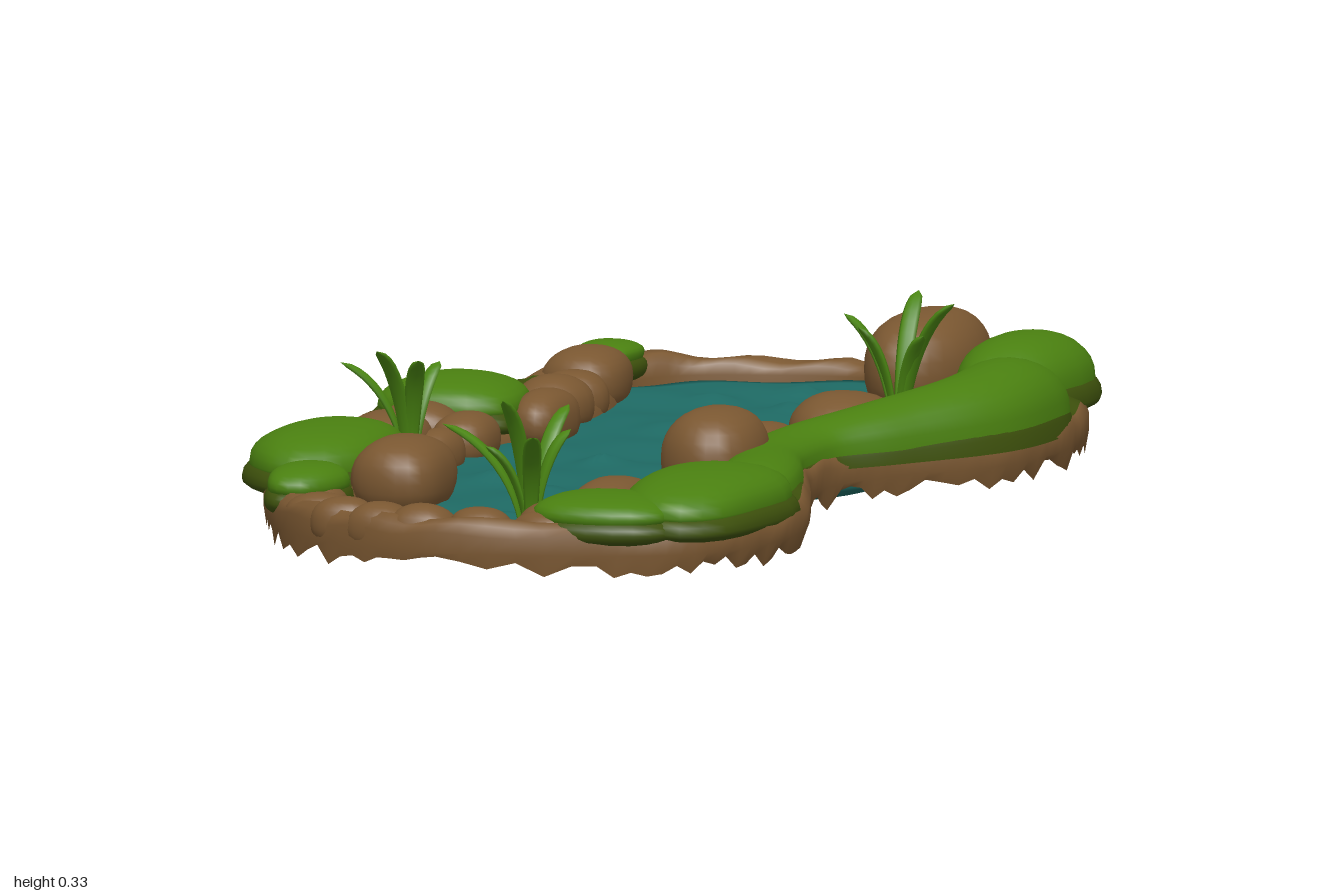
import * as THREE from 'three';
import { mergeVertices } from 'three/addons/utils/BufferGeometryUtils.js';

const mat = (name, color) => new THREE.MeshStandardMaterial({ name, color, side: THREE.DoubleSide });

// Paired points round the pond: outer bank x, z and waterline x, z
const SHORE = [
  [0, -1, 0, -0.96], [0.2, -0.95, 0.13, -0.9], [0.36, -0.87, 0.22, -0.8], [0.49, -0.72, 0.27, -0.66],
  [0.55, -0.55, 0.32, -0.5], [0.565, -0.4, 0.32, -0.36], [0.53, -0.23, 0.25, -0.2], [0.42, -0.08, 0.19, -0.05],
  [0.355, 0.06, 0.17, 0.07], [0.36, 0.2, 0.17, 0.2], [0.42, 0.36, 0.19, 0.36], [0.485, 0.57, 0.18, 0.55],
  [0.475, 0.73, 0.15, 0.72], [0.41, 0.86, 0.12, 0.83], [0.27, 0.94, 0.07, 0.88], [0, 1, -0.03, 0.9],
  [-0.16, 0.97, -0.14, 0.89], [-0.31, 0.87, -0.23, 0.8], [-0.42, 0.68, -0.28, 0.64], [-0.5, 0.47, -0.29, 0.45],
  [-0.545, 0.24, -0.33, 0.22], [-0.565, -0.04, -0.31, -0.04], [-0.535, -0.22, -0.29, -0.22], [-0.465, -0.42, -0.27, -0.42],
  [-0.46, -0.62, -0.3, -0.62], [-0.43, -0.79, -0.34, -0.79], [-0.33, -0.89, -0.29, -0.87], [-0.18, -0.97, -0.16, -0.93],
];
const loop = (k) => new THREE.CatmullRomCurve3(SHORE.map((p) => new THREE.Vector3(p[k], 0, p[k + 1])), true);
const outer = loop(0), inner = loop(2);
const shore = (u, s) => outer.getPoint(u % 1).lerp(inner.getPoint(u % 1), s);
const hash = (n) => { const v = Math.sin(n * 127.1 + 3.7) * 43758.5; return v - Math.floor(v); };
const bump = (x, z, a, b, r) => Math.exp(-((x - a) ** 2 + (z - b) ** 2) / (r * r));

// Smooth surface from rows of points; pick chooses a material slot per cell
function grid(rows, cols, closed, point, pick = () => 0) {
  const pos = [], idx = [[], []], w = closed ? cols : cols + 1;
  for (let i = 0; i <= rows; i++) for (let j = 0; j < w; j++) pos.push(...point(i, j));
  for (let i = 0; i < rows; i++) for (let j = 0; j < cols; j++) {
    const k = (j + 1) % w, a = i * w + j, b = i * w + k, c = a + w, d = b + w;
    idx[pick(i, j)].push(a, c, b, b, c, d);
  }
  const g = new THREE.BufferGeometry();
  g.setAttribute('position', new THREE.Float32BufferAttribute(pos, 3));
  g.setIndex([...idx[0], ...idx[1]]);
  g.addGroup(0, idx[0].length, 0);
  g.addGroup(idx[0].length, idx[1].length, 1);
  g.computeVertexNormals();
  return g;
}

// Lumpy boulder or cushion, widest at the waist height
function lump(rx, rz, bottom, waist, top, seed) {
  let g = new THREE.SphereGeometry(1, 24, 16);
  g.deleteAttribute('uv');
  g.deleteAttribute('normal');
  g = mergeVertices(g, 1e-4);
  const p = g.attributes.position, q = (v) => Math.sign(v) * Math.abs(v) ** 0.88;
  for (let i = 0; i < p.count; i++) {
    const x = p.getX(i), y = p.getY(i), z = p.getZ(i);
    const n = 1 + 0.05 * Math.sin(x * 3 + seed * 2.1) + 0.05 * Math.sin(z * 4 + seed * 1.3);
    p.setXYZ(i, q(x) * rx * n, waist + q(y) * (y > 0 ? top - waist : waist - bottom), q(z) * rz * n);
  }
  g.computeVertexNormals();
  return g;
}

export function createModel() {
  const model = new THREE.Group();
  model.name = 'gardenPond';
  const stone = mat('brownStone', 0x7a5731), moss = mat('mossGreen', 0x4a8010);
  const darkMoss = mat('darkMoss', 0x3d500c), teal = mat('waterTeal', 0x1e6a64), leaf = mat('reedGreen', 0x4a8512);
  const add = (name, geo, material, x = 0, z = 0) => {
    const m = new THREE.Mesh(geo, material);
    m.name = name;
    m.position.set(x, 0, z);
    model.add(m);
  };

  // Hollow bank with a ragged lower edge, low at the back; mossy on top in places
  const N = 170;
  const profile = [[0.03, 0.06], [0, 0.085], [0, 0.115], [0.06, 0.13], [0.2, 0.14], [0.7, 0.135], [0.92, 0.12], [1, 0.1], [1.03, 0.065]];
  add('bank', grid(profile.length - 1, N, true, (i, j) => {
    const [s, h] = profile[i], p = shore(j / N, s);
    const low = THREE.MathUtils.smoothstep(-p.z, 0.85, 0.96) * 0.4;
    const top = h > 0.1 ? h - (h - 0.1) * low + 0.004 * Math.sin(j * 1.1 + i) : h;
    return [p.x, i === 0 ? 0.046 + 0.032 * hash(j) : top, p.z];
  }, (i, j) => {
    const { x, z } = shore(j / N, 0);
    const mossy = x > 0 ? Math.abs(z) < 0.84 : z > -0.55 && z < 0.8;
    const start = x < 0 && (z < -0.2 || z > 0.2) ? 3 : 2;
    return mossy && i > start && i < 6 ? 1 : 0;
  }), [stone, darkMoss]);

  // Water body: rippled top, rounded edge, underside sagging to its lowest point
  const rings = 28, W = 140;
  const swells = [[-0.11, -0.35, 0.055], [-0.15, -0.68, 0.04], [0, -0.64, 0.03], [0.06, -0.8, 0.035], [-0.04, -0.8, 0.03],
    [-0.08, 0.02, 0.035], [-0.04, 0.37, 0.04], [0, 0.68, 0.04], [-0.18, 0.25, 0.04], [0.05, -0.15, 0.04]];
  add('water', grid(rings * 2, W, true, (i, j) => {
    const top = i <= rings, t = top ? i / rings : (2 * rings - i) / rings;
    const e = shore(j / W, 0.96), x = -0.05 + (e.x + 0.05) * t, z = -0.05 + (e.z + 0.05) * t;
    let y;
    if (top) {
      y = 0.092 + 0.003 * Math.sin(x * 14 + z * 19) + 0.002 * Math.sin(z * 31 - x * 17);
      for (const [a, b, r] of swells) y += 0.016 * bump(x, z, a, b, r);
    } else y = 0.04 - 0.037 * bump(x, z, 0.12, -0.32, 0.24) - 0.008 * bump(x, z, -0.1, 0.1, 0.3) + 0.025 * t ** 10;
    return [x, y, z];
  }), teal);

  // Boulders along the waterline: x, z, half width, half depth, top
  const boulders = [
    [-0.36, -0.64, 0.07, 0.095, 0.18], [-0.33, -0.5, 0.06, 0.06, 0.16], [-0.32, -0.38, 0.06, 0.075, 0.17],
    [-0.28, -0.23, 0.05, 0.08, 0.17], [-0.33, -0.01, 0.055, 0.07, 0.16], [-0.42, -0.03, 0.07, 0.07, 0.17],
    [-0.41, 0.15, 0.07, 0.1, 0.18], [-0.33, 0.12, 0.04, 0.06, 0.15], [-0.26, 0.41, 0.04, 0.06, 0.15],
    [-0.23, 0.54, 0.08, 0.105, 0.205], [0.19, -0.79, 0.095, 0.165, 0.25], [0.26, -0.57, 0.055, 0.065, 0.14],
    [0.25, -0.22, 0.09, 0.1, 0.195], [0.18, -0.04, 0.06, 0.09, 0.165], [0.16, 0.1, 0.055, 0.07, 0.16],
    [0.21, 0.25, 0.083, 0.12, 0.235], [0.24, 0.43, 0.06, 0.09, 0.16], [0.23, 0.57, 0.05, 0.08, 0.16],
    [0.2, 0.7, 0.07, 0.1, 0.18], [0.16, 0.85, 0.06, 0.08, 0.16],
  ];
  boulders.forEach(([x, z, rx, rz, top], i) => add('boulder', lump(rx, rz, 0.065, (top + 0.065) / 2, top, i), stone, x, z));

  // Fused kerb stones round the front end
  for (let i = 0; i < 7; i++) {
    const p = shore(0.5 + i * 0.021, 0.55);
    add('kerbStone', lump(0.058, 0.046, 0.07, 0.11, 0.148 + 0.012 * hash(i), i + 30), stone, p.x, p.z);
  }

  // Domed moss cushions, each on a darker skirt: x, z, half width, half depth, top
  const cushions = [
    [0.38, -0.72, 0.095, 0.18, 0.23], [0.35, 0.68, 0.125, 0.195, 0.203], [0.25, 0.84, 0.13, 0.1, 0.178],
    [-0.42, -0.2, 0.115, 0.135, 0.195], [-0.4, 0.45, 0.115, 0.2, 0.205], [-0.33, 0.72, 0.065, 0.09, 0.178],
    [-0.385, -0.8, 0.052, 0.062, 0.165], [0.075, -0.955, 0.055, 0.036, 0.15],
  ];
  cushions.forEach(([x, z, rx, rz, top], i) => {
    add('mossCushion', lump(rx, rz, 0.115, 0.145, top, i + 50), moss, x, z);
    add('mossSkirt', lump(rx * 1.1, rz * 1.07, 0.09, 0.12, 0.13 + (top - 0.13) * 0.5, i + 50), darkMoss, x, z);
  });

  // Long moss ridge on the left bank: x, height, z and matching half widths
  const ridge = new THREE.CatmullRomCurve3([
    [0.43, 0.2, -0.62], [0.46, 0.235, -0.45], [0.45, 0.225, -0.28], [0.36, 0.2, -0.1], [0.285, 0.18, 0.04],
    [0.285, 0.175, 0.2], [0.33, 0.18, 0.36], [0.365, 0.19, 0.56]].map((p) => new THREE.Vector3(...p)));
  const widths = [0.09, 0.1, 0.095, 0.08, 0.065, 0.06, 0.072, 0.1];
  const ridgeGeo = (wide, tall, base) => grid(48, 14, false, (i, j) => {
    const t = i / 48, p = ridge.getPoint(t), d = ridge.getTangent(t).setY(0).normalize();
    const f = t * 7, k = Math.min(6, Math.floor(f)), end = Math.sqrt(Math.max(0, 1 - Math.abs(2 * t - 1) ** 8));
    const w = THREE.MathUtils.lerp(widths[k], widths[k + 1], f - k) * wide * end, a = (j / 14) * Math.PI;
    return [p.x - d.z * w * Math.cos(a), base + (p.y - base) * tall * end * Math.sin(a) ** 0.8, p.z + d.x * w * Math.cos(a)];
  });
  add('mossRidge', ridgeGeo(1, 1, 0.13), moss);
  add('mossRidgeSkirt', ridgeGeo(1.18, 0.68, 0.108), darkMoss, -0.012);

  // Fleshy pointed reed blades leaning outward: root, tip offsets and tip height
  const blade = (x, y, z, dx, dz, h) => {
    const side = new THREE.Vector2(dz, -dx).normalize();
    add('reedBlade', grid(12, 8, true, (i, j) => {
      const t = i / 12, o = t ** 1.7, a = (j / 8) * Math.PI * 2;
      const w = (0.009 + 0.014 * t) * Math.sqrt(1 - t ** 3), v = w * Math.cos(a), n = w * 0.4 * Math.sin(a);
      const rise = Math.sin(t * 1.3) / Math.sin(1.3), out = n / Math.hypot(dx, dz);
      return [x + dx * (o + out) + side.x * v, y + (h - y) * rise - n * 0.8 * t, z + dz * (o + out) + side.y * v];
    }), leaf);
  };
  const clumps = [
    [0.11, 0.14, 0.84, [[-0.15, 0.01, 0.277], [-0.01, 0.1, 0.335], [0.05, 0.12, 0.28], [0.02, -0.12, 0.3], [0.05, -0.05, 0.27], [-0.06, 0.05, 0.25]]],
    [-0.33, 0.15, 0.25, [[-0.11, 0.03, 0.277], [-0.02, 0.1, 0.31], [0.045, 0.08, 0.295], [0.02, -0.08, 0.27], [-0.05, -0.03, 0.26]]],
    [0.25, 0.13, -0.48, [[-0.09, 0.01, 0.285], [-0.01, -0.12, 0.31], [0.11, 0.03, 0.315], [0.06, 0.04, 0.26], [-0.05, 0.05, 0.27]]],
  ];
  for (const [x, y, z, tips] of clumps) for (const [dx, dz, h] of tips) {
    blade(x + dx * 0.1, y - 0.04, z + dz * 0.1, dx * 0.92, dz * 0.92, h);
  }
  return model;
}
